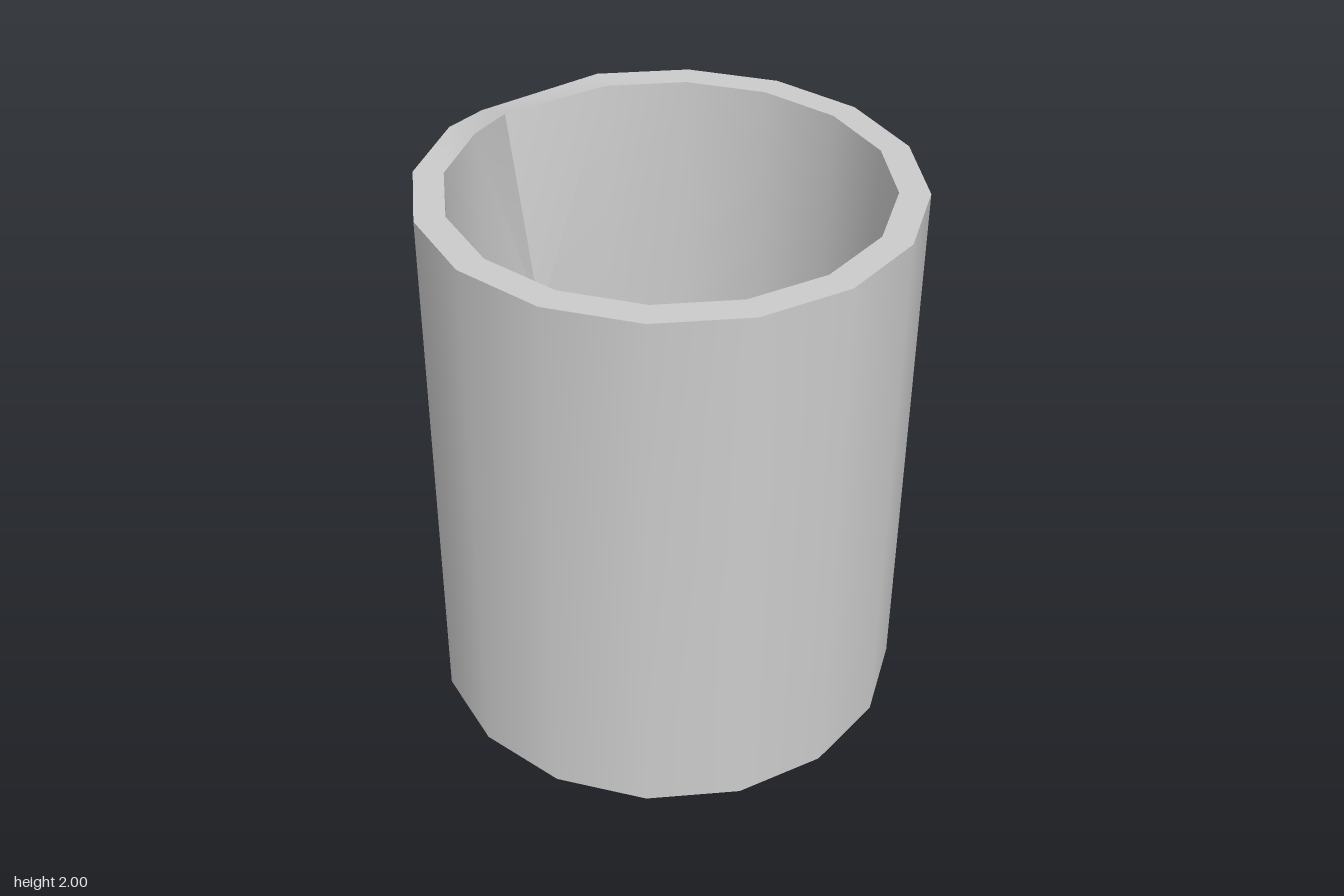
import * as THREE from 'three';
import { toCreasedNormals } from 'three/addons/utils/BufferGeometryUtils.js';

const SIDES = 16;
const SPOUT = SIDES / 2; // column pointing to -x
const CENTER_X = 0.1;

// Cross-section rings [radius, y, spout radius, spout y], from under the base, over the rim, to the inner floor
const RINGS = [
  [0, 0],
  [0.74, 0],
  [0.82, 0.08],
  [0.82, 1.16],
  [0.82, 2, 1.02, 1.86],
  [0.72, 2, 0.88, 1.9],
  [0.72, 1.16],
  [0.72, 0.1],
  [0, 0.1],
];
const INNER = 5; // first ring on the inside

function ringPoint(ring, column) {
  const [r, y, spoutR = r, spoutY = y] = RINGS[ring];
  const c = column % SIDES;
  const angle = (c / SIDES) * Math.PI * 2;
  const radius = c === SPOUT ? spoutR : r;
  return new THREE.Vector3(
    CENTER_X + radius * Math.cos(angle),
    c === SPOUT ? spoutY : y,
    radius * Math.sin(angle)
  );
}

function beakerGeometry() {
  const positions = [];
  const triangle = (a, b, c) => {
    // drop the collapsed triangles at the centres of base and floor
    if (new THREE.Triangle(a, b, c).getArea() < 1e-6) return;
    for (const p of [a, b, c]) positions.push(p.x, p.y, p.z);
  };
  for (let r = 0; r < RINGS.length - 1; r++) {
    for (let i = 0; i < SIDES; i++) {
      const a = ringPoint(r, i);
      const b = ringPoint(r, i + 1);
      const c = ringPoint(r + 1, i + 1);
      const d = ringPoint(r + 1, i);
      // mirror the diagonals so that the spout folds out symmetrically
      if ((i >= SPOUT) !== (r >= INNER)) {
        triangle(a, d, c);
        triangle(a, c, b);
      } else {
        triangle(a, d, b);
        triangle(d, c, b);
      }
    }
  }
  const geometry = new THREE.BufferGeometry();
  geometry.setAttribute('position', new THREE.Float32BufferAttribute(positions, 3));
  return toCreasedNormals(geometry, THREE.MathUtils.degToRad(38));
}

export function createModel() {
  const group = new THREE.Group();
  group.name = 'beaker';
  // Hollow cup with chamfered base and pouring spout
  const cup = new THREE.Mesh(
    beakerGeometry(),
    new THREE.MeshStandardMaterial({ color: 0xcccccc })
  );
  cup.name = 'cupWithSpout';
  group.add(cup);
  return group;
}
